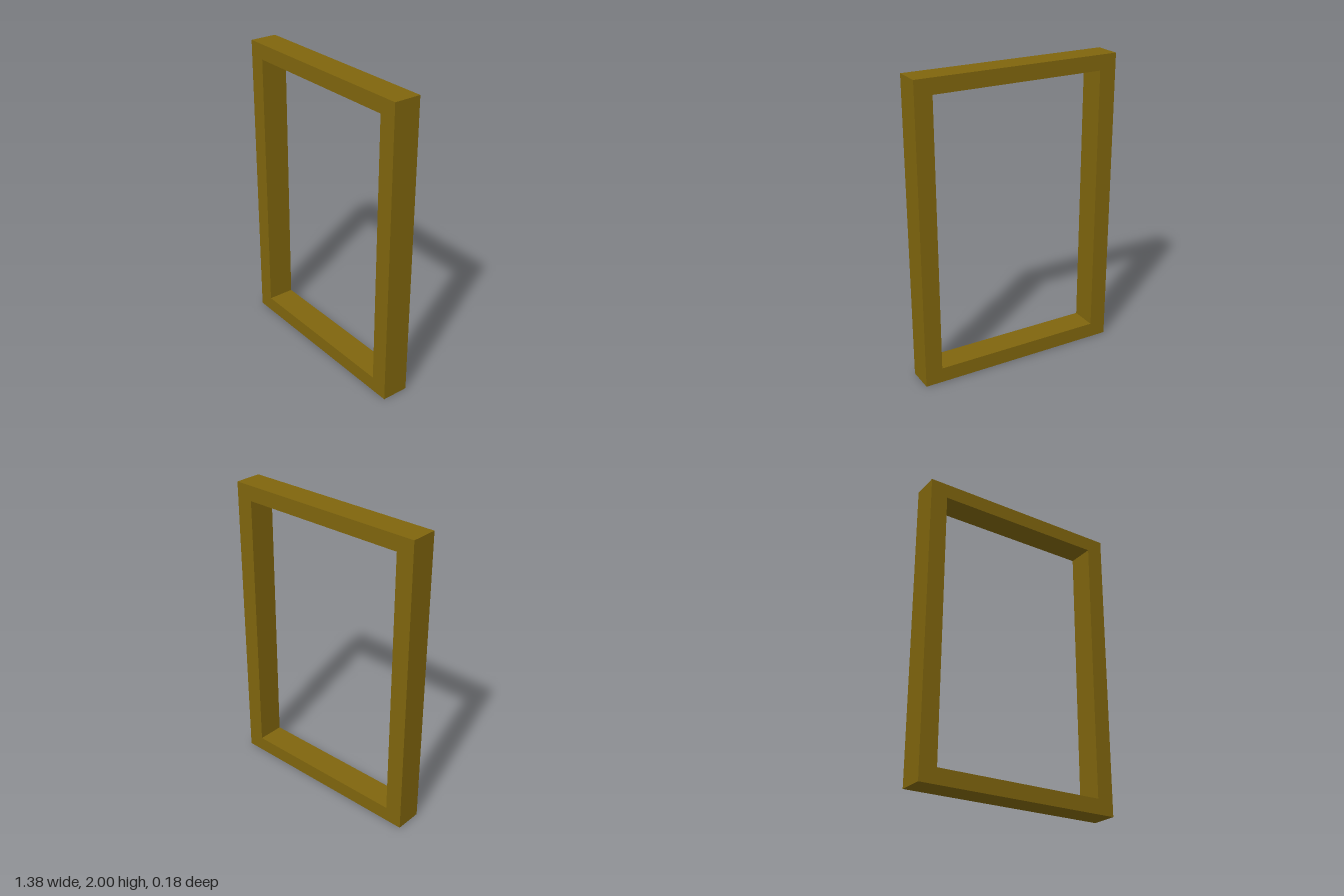
import * as THREE from 'three';

const WIDTH = 1.38, HEIGHT = 2, DEPTH = 0.18;
const SIDE = 0.115; // width of the upright members
const RAIL = 0.1; // height of the top and bottom members

// Corner points of a rectangle
function rectangle(x0, y0, x1, y1) {
  return [[x0, y0], [x1, y0], [x1, y1], [x0, y1]].map(([x, y]) => new THREE.Vector2(x, y));
}

export function createModel() {
  const group = new THREE.Group();
  group.name = 'openFrame';

  // One solid rectangular frame with a through opening
  const outline = new THREE.Shape(rectangle(-WIDTH / 2, 0, WIDTH / 2, HEIGHT));
  outline.holes.push(new THREE.Path(
    rectangle(-WIDTH / 2 + SIDE, RAIL, WIDTH / 2 - SIDE, HEIGHT - RAIL)
  ));
  const geometry = new THREE.ExtrudeGeometry(outline, { depth: DEPTH, bevelEnabled: false });
  geometry.translate(0, 0, -DEPTH / 2);

  const frame = new THREE.Mesh(geometry, new THREE.MeshStandardMaterial({ color: 0x7f650d }));
  frame.name = 'frame';
  group.add(frame);
  return group;
}
